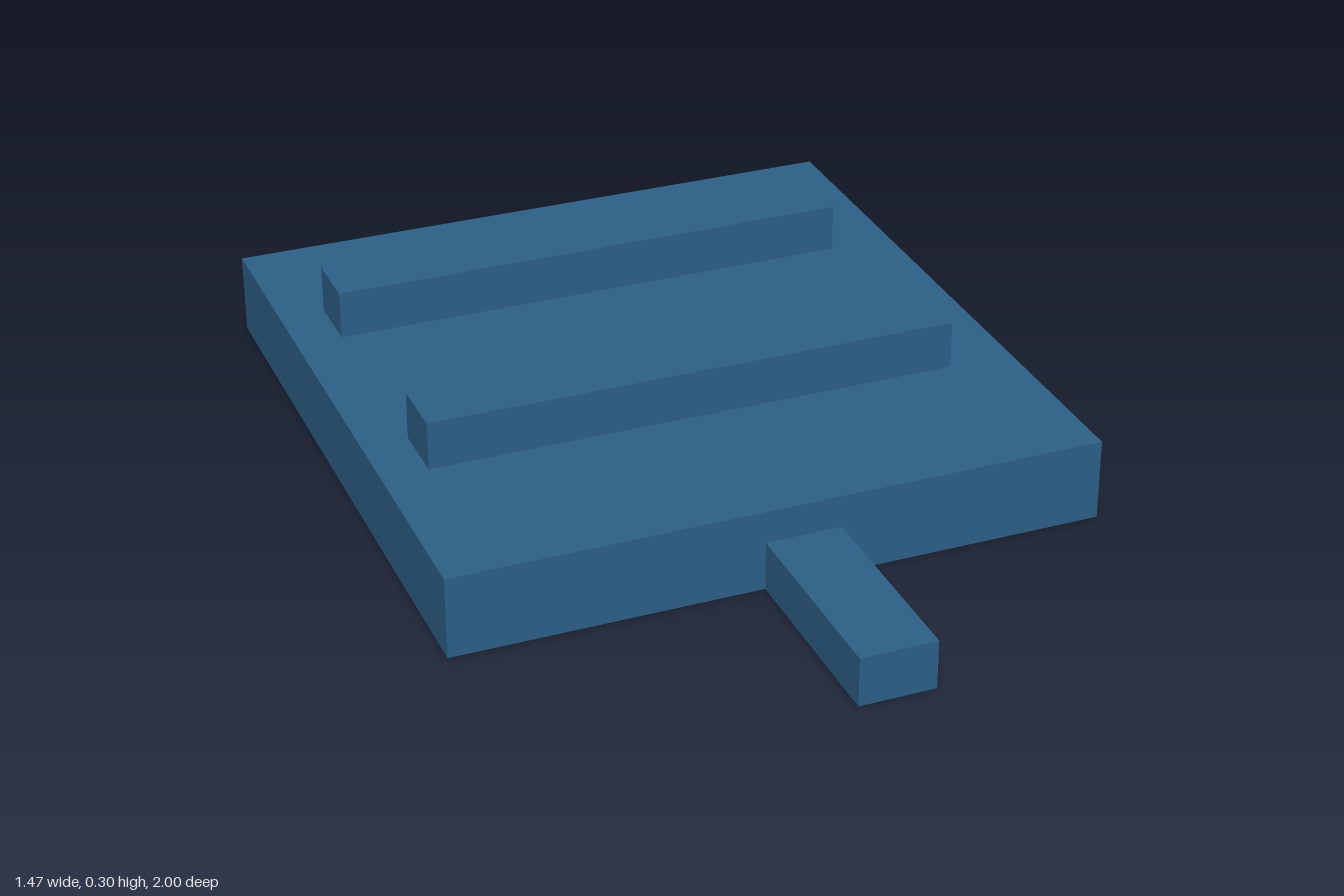
import * as THREE from 'three';

export function createModel() {
  const model = new THREE.Group();
  model.name = 'ribbedPanel';

  const blue = new THREE.MeshStandardMaterial({ color: 0x2d6088 });
  blue.name = 'steel blue';

  // Adds a box spanning the given [min, max] ranges
  function addBlock(name, [x0, x1], [y0, y1], [z0, z1]) {
    const geometry = new THREE.BoxGeometry(x1 - x0, y1 - y0, z1 - z0);
    const mesh = new THREE.Mesh(geometry, blue);
    mesh.name = name;
    mesh.position.set((x0 + x1) / 2, (y0 + y1) / 2, (z0 + z1) / 2);
    model.add(mesh);
  }

  const slabTop = 0.186;
  const slabFront = 0.537;

  // Main slab
  addBlock('slab', [-0.735, 0.735], [0, slabTop], [-1, slabFront]);

  // Tongue sticking out of the front edge, slightly off centre
  addBlock('frontTongue', [-0.042, 0.129], [0, 0.112], [slabFront, 1]);

  // Two cross bars on top
  const bars = { frontBar: 0.041, backBar: -0.598 };
  for (const [name, z] of Object.entries(bars)) {
    addBlock(name, [-0.63, 0.584], [slabTop, 0.296], [z - 0.072, z + 0.072]);
  }

  return model;
}
